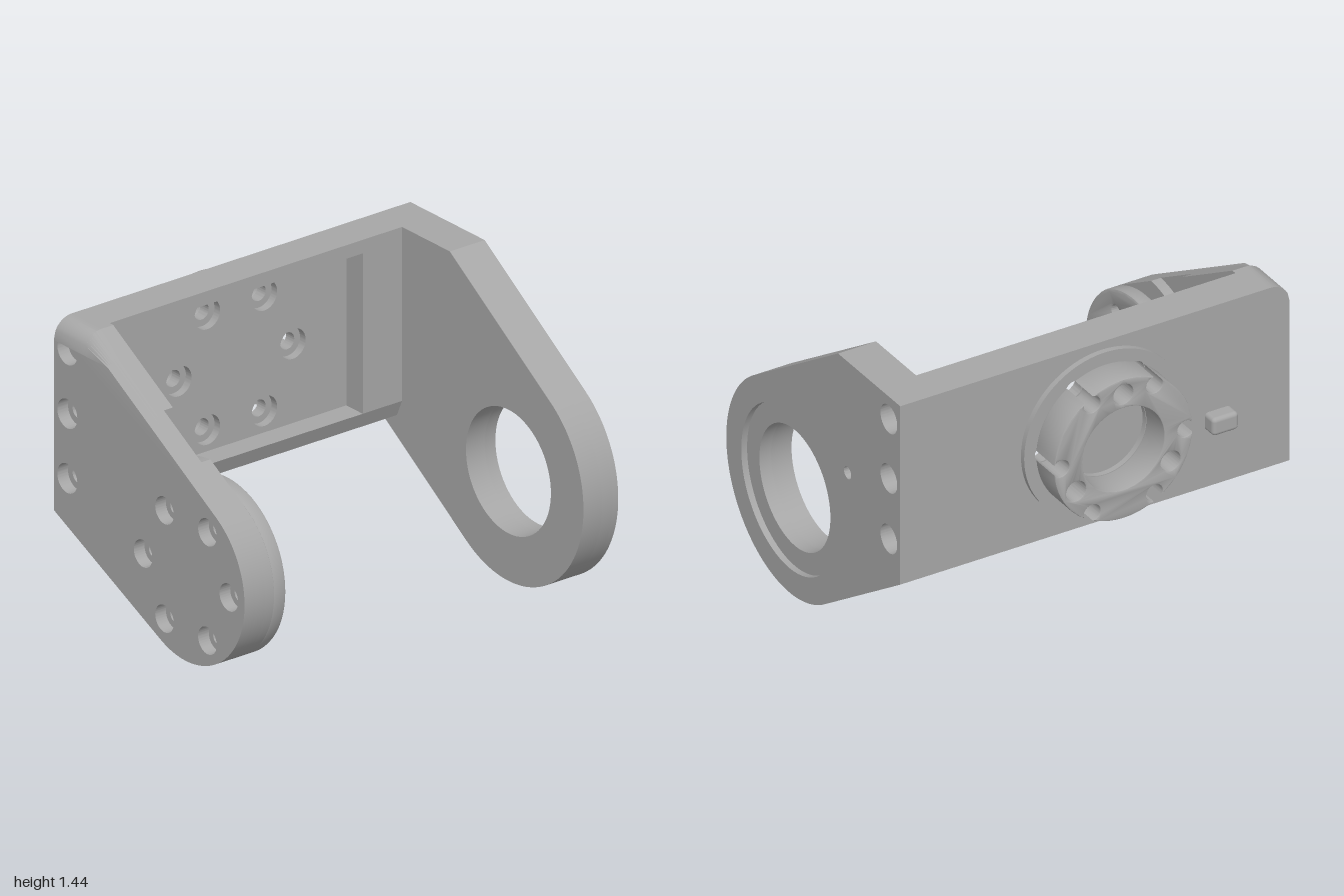
import * as THREE from 'three';
import { toCreasedNormals } from 'three/addons/utils/BufferGeometryUtils.js';
import { RoundedBoxGeometry } from 'three/addons/geometries/RoundedBoxGeometry.js';

const PI = Math.PI;
const TOP = 1.44, BOTTOM = 0.525, BACK = -0.64;

export function createModel() {
  const model = new THREE.Group();
  model.name = 'bracket';
  const grey = new THREE.MeshStandardMaterial({ color: 0xa6a6a6 });
  grey.name = 'grey';

  function add(name, geometry, parent = model) {
    const mesh = new THREE.Mesh(geometry, grey);
    mesh.name = name;
    parent.add(mesh);
    return mesh;
  }
  function group(name) {
    const g = new THREE.Group();
    g.name = name;
    model.add(g);
    return g;
  }

  // Shape helpers
  function drill(shape, u, v, r) {
    const hole = new THREE.Path();
    hole.absarc(u, v, r, 0, PI * 2, true);
    shape.holes.push(hole);
    return shape;
  }
  function drillRing(shape, u, v, ringR, r, count, start) {
    for (let i = 0; i < count; i++) {
      const a = start + (i * 2 * PI) / count;
      drill(shape, u + ringR * Math.cos(a), v + ringR * Math.sin(a), r);
    }
    return shape;
  }
  function disc(u, v, r) {
    const s = new THREE.Shape();
    s.absarc(u, v, r, 0, PI * 2, false);
    return s;
  }
  const polygon = pts => new THREE.Shape(pts.map(p => new THREE.Vector2(...p)));

  // Extrusion from w = 0 to w = depth, with optional chamfer inside the outline
  function slab(shape, depth, bevel = 0, steps = 1) {
    const g = new THREE.ExtrudeGeometry(shape, {
      depth: depth - 2 * bevel, steps, curveSegments: 36, bevelEnabled: bevel > 0,
      bevelSize: bevel, bevelThickness: bevel, bevelOffset: -bevel, bevelSegments: 2,
    });
    return g.translate(0, 0, bevel);
  }
  // Slab lying in the z-y plane, between two x positions
  function sideSlab(name, parent, shape, x0, x1, bevel = 0, rule = null) {
    const g = slab(shape, x1 - x0, bevel, rule ? 6 : 1).rotateY(-PI / 2).translate(x1, 0, 0);
    if (rule) {
      const p = g.attributes.position;
      for (let i = 0; i < p.count; i++) p.setY(i, rule(p.getX(i), p.getY(i)));
    }
    return add(name, toCreasedNormals(g, 0.5), parent);
  }
  // Slab lying in the x-y plane, between two z positions
  function backSlab(name, parent, shape, z0, z1, bevel = 0) {
    return add(name, toCreasedNormals(slab(shape, z1 - z0, bevel).translate(0, 0, z0), 0.5), parent);
  }

  // Tangent angles of an arm outline that tapers from the back edge to a round end
  function armAngles(cz, cy, r, topZ) {
    const reach = (z, y) => [Math.atan2(cy - y, cz - z), Math.asin(r / Math.hypot(cz - z, cy - y))];
    const [a, da] = reach(topZ, TOP);
    const [b, db] = reach(BACK, BOTTOM);
    return { slope: a + da, top: a + da + PI / 2, bottom: b - db - PI / 2 };
  }
  function armShape(cz, cy, r, topZ) {
    const t = armAngles(cz, cy, r, topZ);
    const s = new THREE.Shape();
    s.absarc(cz, cy, r, t.bottom, t.top, false);
    s.lineTo(topZ - 0.1 / Math.tan(t.slope), TOP - 0.1);
    s.lineTo(topZ, TOP);
    s.lineTo(BACK, TOP);
    s.lineTo(BACK, BOTTOM);
    s.closePath();
    return s;
  }
  const screwYs = [1.325, 1.02, 0.71];
  const drillScrews = (s, r) => { screwYs.forEach(y => drill(s, -0.545, y, r)); return s; };

  // Right arm with a large bearing hole
  const rightArm = group('rightArm');
  const RZ = 0.29, RY = 0.528;
  const rightShape = () => armShape(RZ, RY, 0.525, -0.12);
  let s = drill(drillScrews(rightShape(), 0.07), RZ, RY, 0.4);
  sideSlab('bearingRecess', rightArm, drill(s, -0.2, 0.87, 0.03), 0.97, 1.0);
  s = drill(drillScrews(rightShape(), 0.07), RZ, RY, 0.297);
  sideSlab('rightArmMiddle', rightArm, drill(s, -0.2, 0.87, 0.03), 0.91, 0.97);
  s = drill(drillScrews(rightShape(), 0.038), RZ, RY, 0.297);
  sideSlab('rightArmInner', rightArm, s, 0.805, 0.91);

  // Left arm, rounded along its upper outer edge
  const leftArm = group('leftArm');
  const LZ = 0.285, LY = 0.535, LR = 0.41, LTOP = -0.43;
  const leftShape = () => armShape(LZ, LY, LR, LTOP);
  const roundTop = (x, y) =>
    Math.min(y, x < -0.9 ? TOP - 0.1 + Math.sqrt(Math.max(0, 0.01 - (x + 0.9) ** 2)) : TOP);
  s = drillRing(drillScrews(leftShape(), 0.07), LZ, LY, 0.3, 0.065, 6, 0);
  // screw holes stay below the rounded edge
  sideSlab('leftArmOuter', leftArm, s, -1, -0.94, 0, roundTop);
  s = drillRing(drillScrews(leftShape(), 0.038), LZ, LY, 0.3, 0.035, 6, 0);
  sideSlab('leftArmMiddle', leftArm, s, -0.94, -0.885, 0, roundTop);

  // Inner layer of the left arm, cut away around the boss
  const t = armAngles(LZ, LY, LR, LTOP);
  const cut = Math.acos(LR / 0.72);
  s = new THREE.Shape();
  s.absarc(LZ, LY, 0.72, t.bottom - cut, t.top + cut, true);
  s.lineTo(LTOP, TOP);
  s.lineTo(BACK, TOP);
  s.lineTo(BACK, BOTTOM);
  s.closePath();
  sideSlab('leftArmInner', leftArm, s, -0.885, -0.835);

  // Boss: a wider pad and a drilled round face
  const drillBoss = shape => {
    drill(shape, LZ, LY, 0.185);
    drillRing(shape, LZ, LY, 0.3, 0.035, 6, 0);
    return drillRing(shape, LZ, LY, 0.285, 0.06, 3, PI / 2);
  };
  const pad = Math.acos(LR / 0.5);
  s = new THREE.Shape();
  s.absarc(LZ, LY, LR, t.bottom, t.top, false);
  s.absarc(LZ, LY, 0.5, t.top + pad, t.bottom - pad + 2 * PI, false);
  s.closePath();
  sideSlab('bossPad', leftArm, drillBoss(s), -0.885, -0.835);
  sideSlab('boss', leftArm, drillBoss(disc(LZ, LY, LR)), -0.835, -0.765, 0.012);

  // Back plate: drilled skin and a frame around the front pocket
  const backPlate = group('backPlate');
  const HX = -0.035, HY = 0.985, X0 = -0.835, X1 = 0.805, RAIL = 0.605;
  const plate = () => polygon([[X0, BOTTOM], [X1, BOTTOM], [X1, TOP], [X0, TOP]]);
  backSlab('plateSkin', backPlate, drillRing(plate(), HX, HY, 0.32, 0.04, 6, 0), BACK, -0.61);
  backSlab('plateCounterbores', backPlate, drillRing(plate(), HX, HY, 0.32, 0.072, 6, 0), -0.61, -0.57);
  s = polygon([[X0, RAIL], [-0.61, RAIL], [-0.61, 1.375], [0.585, 1.375], [0.585, RAIL],
    [X1, RAIL], [X1, TOP], [X0, TOP]]);
  backSlab('pocketFrame', backPlate, s, -0.57, -0.455);
  s = polygon([[-0.57, BOTTOM], [-0.49, BOTTOM], [-0.455, RAIL], [-0.57, RAIL]]);
  sideSlab('lowerRail', backPlate, s, X0, X1);

  // Rear hub with a flange and notched rim
  const hub = group('rearHub');
  s = drill(disc(HX, HY, 0.415), HX, HY, 0.21);
  drillRing(s, HX, HY, 0.32, 0.04, 6, 0);
  backSlab('hubFlange', hub, s, -0.667, BACK);
  const rim = [];
  const R = 0.355, C = 0.32, NR = 0.042;
  const open = Math.acos((R * R - C * C - NR * NR) / (2 * C * NR));
  const half = Math.atan2(NR * Math.sin(open), C + NR * Math.cos(open));
  for (let k = 0; k < 6; k++) {
    const a = (k * PI) / 3;
    for (let i = 0; i <= 14; i++) {
      const b = a - open - ((2 * PI - 2 * open) * i) / 14;
      rim.push([HX + C * Math.cos(a) + NR * Math.cos(b), HY + C * Math.sin(a) + NR * Math.sin(b)]);
    }
    for (let i = 1; i < 10; i++) {
      const b = a + half + ((PI / 3 - 2 * half) * i) / 10;
      rim.push([HX + R * Math.cos(b), HY + R * Math.sin(b)]);
    }
  }
  s = drill(polygon(rim), HX, HY, 0.21);
  drillRing(s, HX, HY, 0.28, 0.05, 3, PI / 2);
  backSlab('hubRim', hub, s, -0.823, -0.667, 0.006);

  // Locating key on the back
  add('locatingKey', new RoundedBoxGeometry(0.135, 0.09, 0.11, 3, 0.02)).position.set(-0.632, 0.86, -0.655);

  return model;
}
